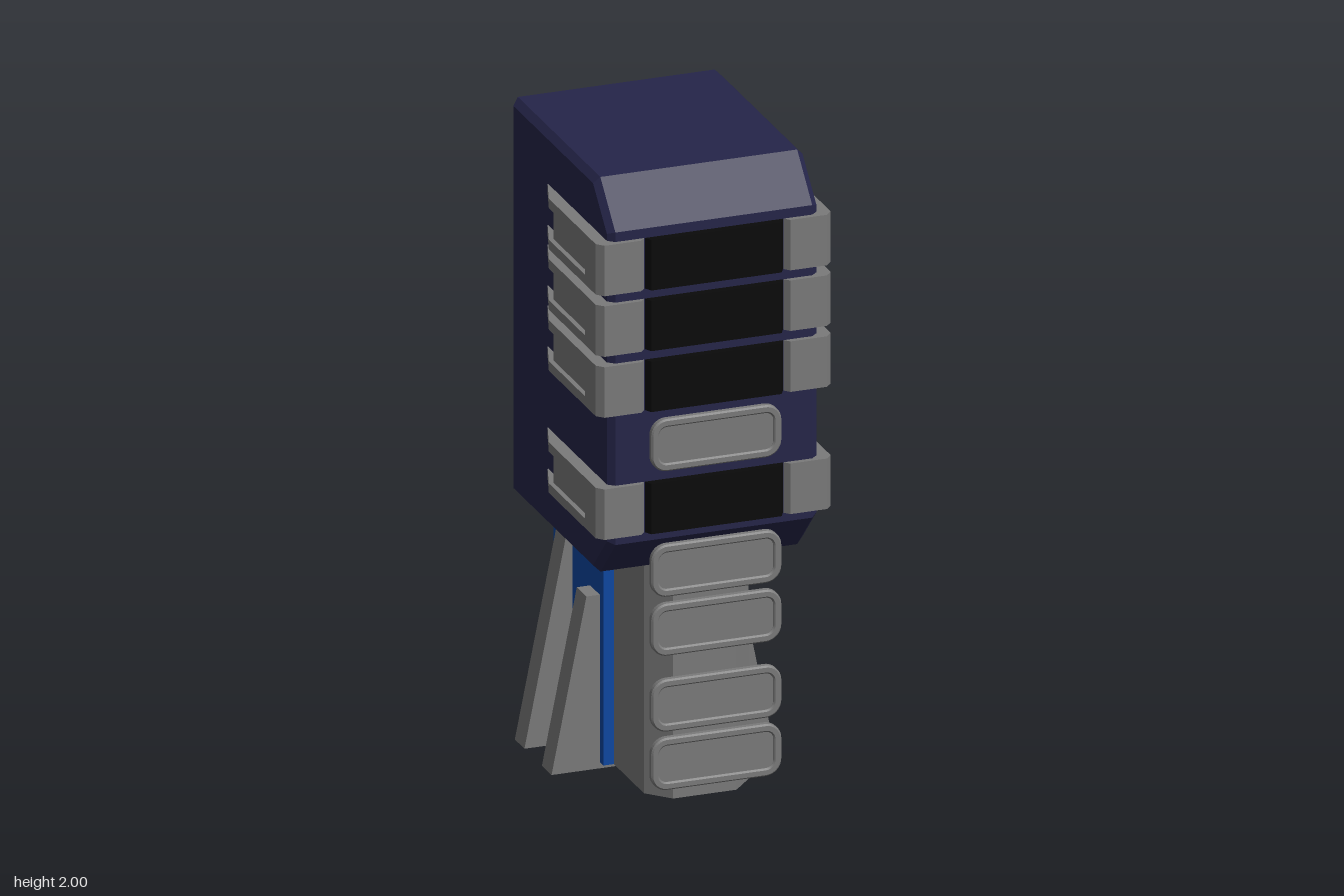
import * as THREE from 'three';

const mat = (name, color, side = THREE.FrontSide) => {
  const m = new THREE.MeshStandardMaterial({ color, side });
  m.name = name;
  return m;
};

// Flat-faced skin between consecutive cross-section loops of [x, y, z] points
function loft(loops, closed = true) {
  const pos = [];
  for (let k = 0; k + 1 < loops.length; k++) {
    const a = loops[k], b = loops[k + 1], n = a.length;
    for (let i = 0; i < (closed ? n : n - 1); i++) {
      const j = (i + 1) % n;
      pos.push(...a[i], ...a[j], ...b[j], ...a[i], ...b[j], ...b[i]);
    }
  }
  const g = new THREE.BufferGeometry();
  g.setAttribute('position', new THREE.Float32BufferAttribute(pos, 3));
  g.computeVertexNormals();
  return g;
}

function roundedRect(target, w, h, r) {
  const x = w / 2, y = h / 2;
  target.moveTo(-x + r, -y);
  target.lineTo(x - r, -y);
  target.absarc(x - r, -y + r, r, -Math.PI / 2, 0);
  target.absarc(x - r, y - r, r, 0, Math.PI / 2);
  target.absarc(-x + r, y - r, r, Math.PI / 2, Math.PI);
  target.absarc(-x + r, -y + r, r, Math.PI, Math.PI * 1.5);
  return target;
}

export function createModel() {
  const navy = mat('navy', 0x252549, THREE.DoubleSide);
  const gray = mat('gray', 0x7a7a7a, THREE.DoubleSide);
  const blue = mat('blue', 0x0d47a1, THREE.DoubleSide);
  const black = mat('black', 0x0a0a0a);
  const root = new THREE.Group();

  const add = (parent, name, geo, material, x = 0, y = 0, z = 0) => {
    const m = new THREE.Mesh(geo, material);
    m.name = name;
    m.position.set(x, y, z);
    parent.add(m);
    return m;
  };
  const box = (parent, name, material, x0, x1, y0, y1, z0, z1) =>
    add(parent, name, new THREE.BoxGeometry(x1 - x0, y1 - y0, z1 - z0), material,
      (x0 + x1) / 2, (y0 + y1) / 2, (z0 + z1) / 2);

  // Upper housing: shell open at the back, with bevelled side edges
  const outer = [[-0.415, 2], [0.27, 2], [0.395, 1.87], [0.395, 0.88], [0.27, 0.75], [-0.415, 0.75]];
  const inner = [[-0.4, 1.98], [0.262, 1.98], [0.377, 1.862], [0.377, 0.888], [0.262, 0.77], [-0.4, 0.77]];
  const at = (pts, x) => pts.map(([z, y]) => [x, y, z]);
  add(root, 'housingShell', loft([at(outer, -0.31), at(outer, 0.31)], false), navy);

  const sidePanel = new THREE.ShapeGeometry(
    new THREE.Shape(inner.map(([z, y]) => new THREE.Vector2(-z, y))));
  sidePanel.rotateY(Math.PI / 2);

  // Clamp arm outline seen from above (x, z), tapering back to the wall
  const arm = new THREE.Shape([[0.22, 0.395], [0.235, 0.412], [0.35, 0.412], [0.37, 0.39],
    [0.37, 0], [0.332, -0.11], [0.22, -0.11]].map(([x, z]) => new THREE.Vector2(x, z)));
  const armGeo = new THREE.ExtrudeGeometry(arm, { depth: 0.03, bevelEnabled: false });
  armGeo.rotateX(Math.PI / 2);
  const nose = new THREE.Shape([[0.22, 0.395], [0.235, 0.412], [0.35, 0.412], [0.37, 0.39],
    [0.37, 0.3], [0.22, 0.3]].map(([x, z]) => new THREE.Vector2(x, z)));
  const noseGeo = new THREE.ExtrudeGeometry(nose, { depth: 0.1, bevelEnabled: false });
  noseGeo.rotateX(Math.PI / 2);

  const rows = [1.76, 1.568, 1.375, 0.988];

  // Sloped strut, open underneath, passing through the blue panel
  const strut = (z0, z1, top) => {
    const xTop = 0.35 - 0.2 * top;
    const ring = (x, y) => [[0.1, y, z0], [0.1, y, z1], [x, y, z1], [x, y, z0]];
    const cap = [0, 1, 2, 3].map(() => [0.15, top, (z0 + z1) / 2]);
    return loft([ring(0.35, 0), ring(xTop, top), cap]);
  };

  // Mirrored parts
  for (const s of [1, -1]) {
    const half = new THREE.Group();
    half.name = s > 0 ? 'leftSide' : 'rightSide';
    half.scale.x = s;
    root.add(half);

    add(half, 'housingSide', sidePanel, navy, 0.33);
    add(half, 'housingBevel', loft([at(outer, 0.31), at(inner, 0.33)]), navy);

    for (const y of rows) {
      const clamp = new THREE.Group();
      clamp.name = 'clamp';
      clamp.position.y = y;
      half.add(clamp);
      add(clamp, 'upperProng', armGeo, gray, 0, 0.08);
      add(clamp, 'lowerProng', armGeo, gray, 0, -0.05);
      add(clamp, 'clampNose', noseGeo, gray, 0, 0.05);
      box(clamp, 'clampWeb', gray, 0.22, 0.355, -0.05, 0.05, 0, 0.3);
    }

    box(half, 'bluePanel', blue, 0.165, 0.198, 0.02, 0.79, -0.415, 0);
    add(half, 'tallStrut', strut(-0.335, -0.255, 0.77), gray);
    add(half, 'shortStrut', strut(-0.11, -0.03, 0.55), gray);
  }

  // Dark bands between the clamps
  const band = new THREE.Shape([[-0.22, 0.39], [0.22, 0.39], [0.205, 0.418], [-0.205, 0.418]]
    .map(([x, z]) => new THREE.Vector2(x, z)));
  const bandGeo = new THREE.ExtrudeGeometry(band, { depth: 0.16, bevelEnabled: false });
  bandGeo.rotateX(Math.PI / 2);
  for (const y of rows) add(root, 'darkBand', bandGeo, black, 0, y + 0.08);

  // Front pads with a raised rim
  const rim = roundedRect(new THREE.Shape(), 0.4, 0.155, 0.045);
  rim.holes.push(roundedRect(new THREE.Path(), 0.37, 0.125, 0.03));
  const rimGeo = new THREE.ExtrudeGeometry(rim, {
    depth: 0.015, bevelThickness: 0.005, bevelSize: 0.005, bevelSegments: 1, curveSegments: 5 });
  const padGeo = new THREE.ExtrudeGeometry(roundedRect(new THREE.Shape(), 0.375, 0.13, 0.03), {
    depth: 0.014, bevelEnabled: false, curveSegments: 5 });
  for (const y of [1.183, 0.785, 0.598, 0.358, 0.173]) {
    const pad = new THREE.Group();
    pad.name = 'frontPad';
    pad.position.set(0, y, 0.4);
    root.add(pad);
    add(pad, 'padRim', rimGeo, gray);
    add(pad, 'padFace', padGeo, gray);
  }

  // Lower column: thin shell open at the back and bottom
  const column = [[-0.165, 0], [-0.165, 0.25], [-0.1, 0.32], [0.1, 0.32], [0.165, 0.25], [0.165, 0]];
  const level = y => column.map(([x, z]) => [x, y, z]);
  add(root, 'column', loft([level(0.02), level(0.75)], false), gray);

  return root;
}
